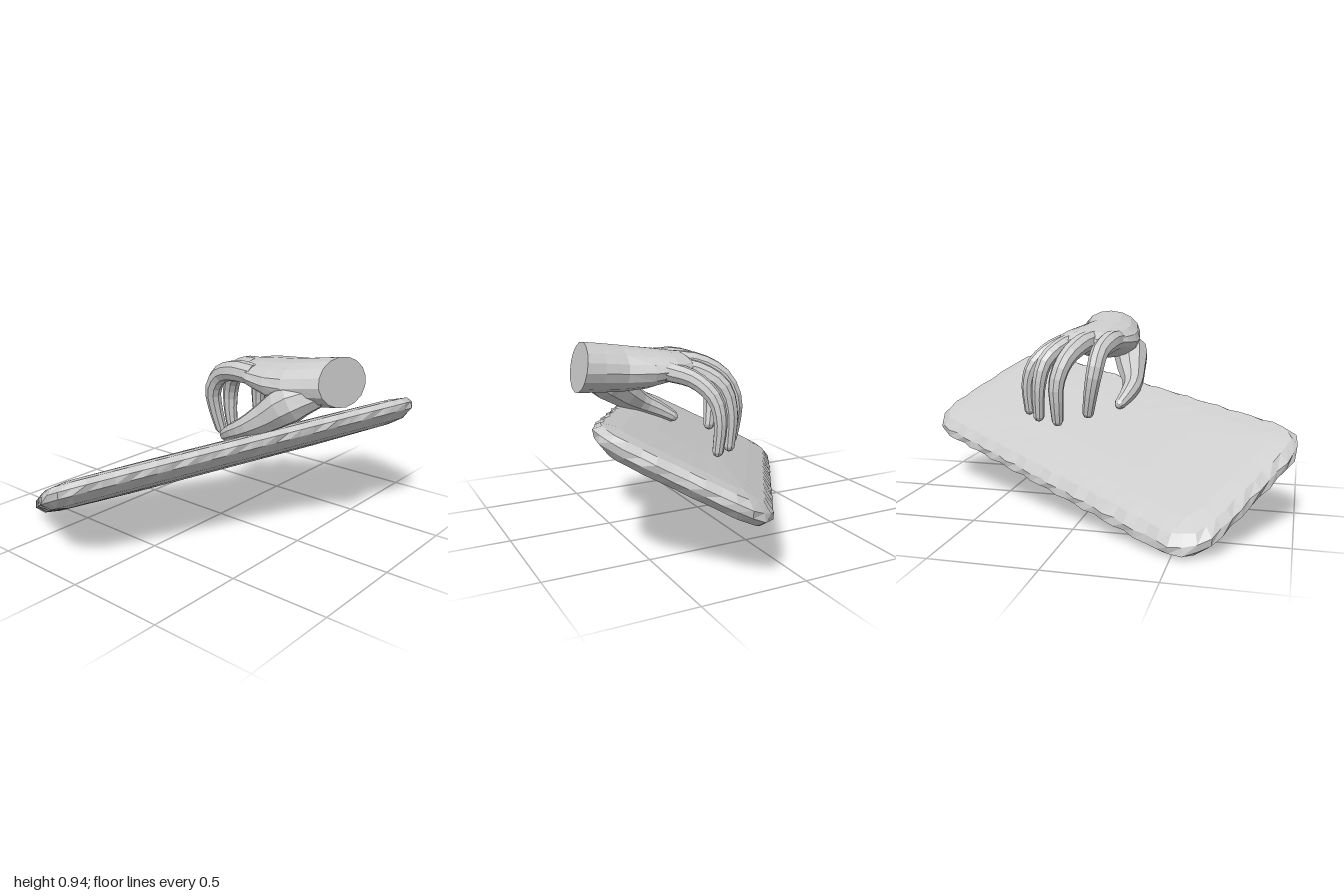
import * as THREE from 'three';

const V = (x, y, z) => new THREE.Vector3(x, y, z);
const material = new THREE.MeshStandardMaterial({ color: 0xcccccc, flatShading: true });

// Closed skin over a list of rings, each with the same number of points
function skin(name, rings) {
  const n = rings[0].length, pos = [], idx = [];
  rings.forEach(r => r.forEach(p => pos.push(p.x, p.y, p.z)));
  for (let i = 0; i < rings.length - 1; i++) {
    for (let j = 0; j < n; j++) {
      const a = i * n + j, b = i * n + (j + 1) % n;
      idx.push(a, b, b + n, a, b + n, a + n);
    }
  }
  const g = new THREE.BufferGeometry();
  g.setAttribute('position', new THREE.Float32BufferAttribute(pos, 3));
  g.setIndex(idx);
  g.computeVertexNormals();
  const mesh = new THREE.Mesh(g, material);
  mesh.name = name;
  return mesh;
}

// Tapering finger along a path of [x, y, z, radius], with a rounded tip
function finger(name, path, steps = 12, sides = 9) {
  const curve = new THREE.CatmullRomCurve3(path.map(p => V(p[0], p[1], p[2])));
  const frames = curve.computeFrenetFrames(steps);
  const rings = [];
  const ring = (c, i, r) => rings.push(Array.from({ length: sides }, (_, j) => {
    const a = j / sides * Math.PI * 2;
    return c.clone().addScaledVector(frames.normals[i], r * Math.cos(a))
      .addScaledVector(frames.binormals[i], r * Math.sin(a));
  }));
  let r = 0;
  ring(curve.getPoint(0), 0, 0);
  for (let i = 0; i <= steps; i++) {
    const t = curve.getUtoTmapping(i / steps) * (path.length - 1);
    const k = Math.min(Math.floor(t), path.length - 2);
    r = THREE.MathUtils.lerp(path[k][3], path[k + 1][3], t - k);
    ring(curve.getPointAt(i / steps), i, r);
  }
  const tip = curve.getPoint(1), dir = frames.tangents[steps];
  ring(tip.clone().addScaledVector(dir, r * 0.6), steps, r * 0.65);
  ring(tip.clone().addScaledVector(dir, r * 0.9), steps, 0);
  return skin(name, rings);
}

// Tilted slab with rounded corners and a soft, slightly uneven rim
function makeSlab() {
  const corners = [[-0.82, 0.6], [-0.1, 1.07], [0.82, -0.62], [0.21, -1.06]]
    .map(c => new THREE.Vector2(...c));
  const shape = new THREE.Shape();
  corners.forEach((c, i) => {
    const toward = q => c.clone().add(q.clone().sub(c).setLength(0.2));
    const a = toward(corners[(i + 3) % 4]), b = toward(corners[(i + 1) % 4]);
    if (i) shape.lineTo(a.x, a.y); else shape.moveTo(a.x, a.y);
    shape.quadraticCurveTo(c.x, c.y, b.x, b.y);
  });
  shape.closePath();
  const n = 80, outline = shape.getSpacedPoints(n).slice(0, n);
  // inset from the outline, height above the mid-plane, scale about the centre
  const profile = [[0.1, -0.075, 0], [0.1, -0.075, 0.55], [0.12, -0.068, 1], [0.045, -0.055, 1],
    [0, -0.015, 1], [0, 0.02, 1], [0.035, 0.052, 1], [0.12, 0.066, 1], [0.1, 0.075, 0.55], [0.1, 0.075, 0]];
  return skin('slab', profile.map(([inset, h, s], k) => outline.map((p, j) => {
    const d = outline[(j + 1) % n].clone().sub(outline[(j + n - 1) % n]).normalize();
    const off = inset + (s === 1 ? 0.006 * Math.sin(j * 2.3 + k * 1.7) : 0);
    const x = (p.x + d.y * off) * s, z = (p.y - d.x * off) * s;
    return V(x, 0.357 + 0.47 * x + 0.114 * z + h, z);
  })));
}

// Palm and cut wrist: elliptical sections from wrist to knuckles
function makePalm() {
  // centre x, y, z, half height, half width, lean of the section
  const sections = [
    [0.66, 0.853, -0.09, 0, 0, 0],
    [0.66, 0.853, -0.09, 0.115, 0.17, 0.025],
    [0.57, 0.842, -0.075, 0.113, 0.172, 0.02],
    [0.46, 0.828, -0.06, 0.11, 0.18, 0.01],
    [0.35, 0.825, -0.075, 0.098, 0.2, 0],
    [0.24, 0.832, -0.095, 0.075, 0.2, 0],
    [0.16, 0.838, -0.1, 0.055, 0.165, 0],
    [0.11, 0.83, -0.1, 0.03, 0.12, 0],
    [0.1, 0.83, -0.1, 0, 0, 0]];
  const sides = 16;
  return skin('palm', sections.map(([x, y, z, hy, hz, lean]) => Array.from({ length: sides }, (_, j) => {
    const a = j / sides * Math.PI * 2, c = Math.cos(a), s = Math.sin(a);
    return V(x - lean * (s + 0.8 * c), y + hy * s, z + hz * c);
  })));
}

export function createModel() {
  const model = new THREE.Group();
  model.name = 'handOnSlab';
  const hand = new THREE.Group();
  hand.name = 'hand';
  hand.add(
    makePalm(),
    finger('indexFinger', [[0.24, 0.84, 0.03, 0.055], [0.12, 0.84, 0.02, 0.055], [0, 0.8, 0, 0.047],
      [-0.06, 0.71, -0.01, 0.043], [-0.06, 0.6, -0.03, 0.037], [-0.04, 0.49, -0.05, 0.03]]),
    finger('middleFinger', [[0.24, 0.845, -0.07, 0.055], [0.07, 0.83, -0.12, 0.053], [-0.05, 0.76, -0.17, 0.047],
      [-0.1, 0.65, -0.2, 0.042], [-0.1, 0.54, -0.2, 0.036], [-0.085, 0.45, -0.2, 0.03]]),
    finger('ringFinger', [[0.25, 0.84, -0.17, 0.052], [0.11, 0.81, -0.24, 0.047], [0.02, 0.74, -0.3, 0.043],
      [-0.01, 0.62, -0.325, 0.037], [0, 0.45, -0.33, 0.029]]),
    finger('littleFinger', [[0.29, 0.83, -0.23, 0.05], [0.18, 0.79, -0.32, 0.043], [0.115, 0.71, -0.395, 0.039],
      [0.1, 0.61, -0.425, 0.033], [0.11, 0.46, -0.42, 0.027]]),
    finger('thumb', [[0.6, 0.81, -0.02, 0.06], [0.47, 0.75, 0.06, 0.1], [0.37, 0.675, 0.09, 0.08],
      [0.26, 0.605, 0.12, 0.053], [0.17, 0.56, 0.11, 0.043], [0.1, 0.52, 0.085, 0.03]]));
  model.add(makeSlab(), hand);
  return model;
}
